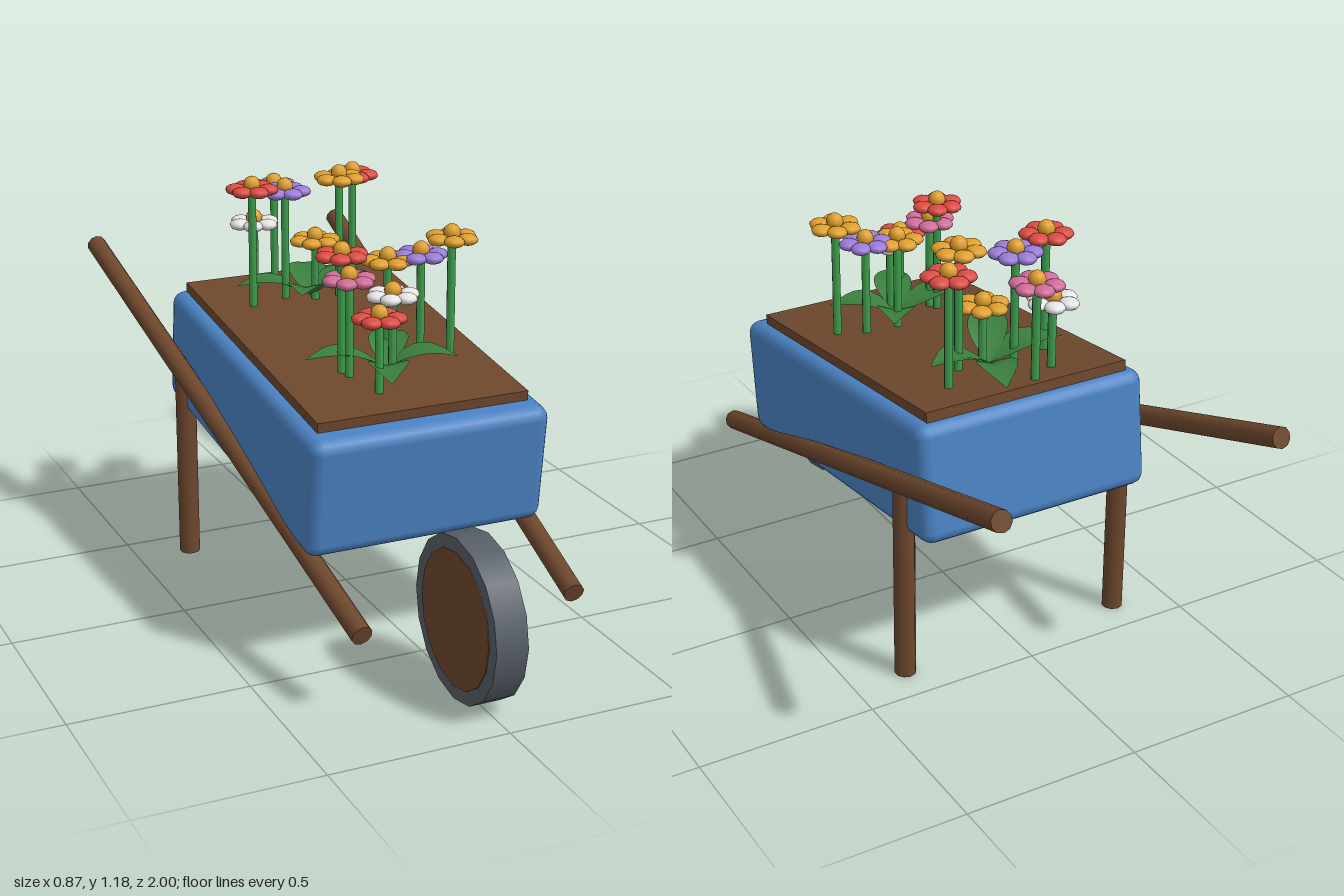
import * as THREE from 'three';
import { RoundedBoxGeometry } from 'three/addons/geometries/RoundedBoxGeometry.js';

const mat = (name, color, extra = {}) => {
  const m = new THREE.MeshStandardMaterial({ color, ...extra });
  m.name = name;
  return m;
};

export function createModel() {
  const blue = mat('blue paint', 0x4a82c3);
  const brown = mat('brown wood and soil', 0x6d472d);
  const rubber = mat('grey rubber', 0x565d66);
  const stemGreen = mat('stem green', 0x3f9e4d);
  const leafGreen = mat('leaf green', 0x3a7f3e, { side: THREE.DoubleSide });
  const gold = mat('gold', 0xdf9f2c);
  const red = mat('red', 0xdb4b44);
  const pink = mat('pink', 0xd06c98);
  const purple = mat('purple', 0x9b7bd8);
  const white = mat('white', 0xebebed);

  const root = new THREE.Group();
  root.name = 'flowerWheelbarrow';

  const add = (parent, name, geo, material, x = 0, y = 0, z = 0) => {
    const m = new THREE.Mesh(geo, material);
    m.name = name;
    m.position.set(x, y, z);
    parent.add(m);
    return m;
  };

  // round bar between two points
  const bar = (parent, name, a, b, r, sides, material) => {
    const from = new THREE.Vector3(...a), to = new THREE.Vector3(...b);
    const dir = to.clone().sub(from);
    const m = add(parent, name, new THREE.CylinderGeometry(r, r, dir.length(), sides), material);
    m.position.copy(from).add(to).multiplyScalar(0.5);
    m.quaternion.setFromUnitVectors(new THREE.Vector3(0, 1, 0), dir.normalize());
    return m;
  };

  // tilted tray with its bed of soil
  const tray = new THREE.Group();
  tray.name = 'tray';
  tray.position.set(0, 0.565, 0.022);
  tray.rotation.x = 0.12;
  root.add(tray);
  add(tray, 'trayBox', new RoundedBoxGeometry(0.69, 0.335, 1.058, 2, 0.035), blue);
  add(tray, 'soil', new THREE.BoxGeometry(0.61, 0.1, 0.96), brown, 0, 0.145, -0.02);

  // handles and legs
  for (const s of [1, -1]) {
    const side = s > 0 ? 'left' : 'right';
    bar(root, side + 'Handle', [s * 0.305, 0.23, 0.775], [s * 0.407, 0.81, -0.99], 0.029, 10, brown);
    bar(root, side + 'Leg', [s * 0.339, 0, -0.39], [s * 0.339, 0.62, -0.39], 0.03, 10, brown);
  }

  // wheel: grey tyre with a brown disc on each face
  const wheel = new THREE.Group();
  wheel.name = 'wheel';
  wheel.position.set(0, 0.225, 0.777);
  wheel.rotation.z = Math.PI / 2;
  root.add(wheel);
  add(wheel, 'tyre', new THREE.CylinderGeometry(0.225, 0.225, 0.09, 16), rubber);
  add(wheel, 'wheelDisc', new THREE.CylinderGeometry(0.187, 0.187, 0.095, 16), brown);

  const soilY = (z) => 0.758 - 0.12 * (z - 0.045);

  // flower: stem, ring of six flattened petals, gold centre
  const petalGeo = new THREE.SphereGeometry(0.029, 10, 8);
  petalGeo.scale(1, 0.55, 1);
  const centreGeo = new THREE.SphereGeometry(0.024, 10, 8);
  const flower = (x, y, z, colour) => {
    const g = new THREE.Group();
    g.name = 'flower';
    root.add(g);
    bar(g, 'stem', [x, soilY(z) - 0.03, z], [x, y, z], 0.012, 8, stemGreen);
    for (let i = 0; i < 6; i++) {
      const a = (i / 6) * Math.PI * 2 + x * 9;
      add(g, 'petal', petalGeo, colour, x + Math.cos(a) * 0.046, y, z + Math.sin(a) * 0.046);
    }
    add(g, 'flowerCentre', centreGeo, gold, x, y + 0.015, z);
  };

  // back bunch
  flower(0.17, 1.12, -0.33, red);
  flower(-0.18, 1.132, -0.24, red);
  flower(-0.04, 1.087, -0.42, pink);
  flower(-0.125, 1.0, -0.365, white);
  flower(-0.07, 1.11, -0.265, purple);
  flower(0.085, 1.14, -0.235, gold);
  flower(0.01, 0.965, -0.235, gold);
  // front bunch
  flower(0.045, 1.007, 0.175, gold);
  flower(0.14, 1.015, 0.185, purple);
  flower(0.212, 1.065, 0.225, gold);
  flower(-0.12, 1.058, 0.24, red);
  flower(-0.112, 0.998, 0.27, pink);
  flower(0.005, 0.947, 0.292, white);
  flower(-0.078, 0.92, 0.385, red);

  // leaf: a strip that tapers to a point, arches and folds along its rib
  const leaf = (cx, cz, tx, tz, lift) => {
    const geo = new THREE.PlaneGeometry(1, 1, 2, 8);
    const p = geo.attributes.position;
    const dx = tx - cx, dz = tz - cz, len = Math.hypot(dx, dz);
    for (let i = 0; i < p.count; i++) {
      const v = p.getX(i) * 2, u = p.getY(i) + 0.5;
      const w = v * 0.055 * Math.sin(Math.PI * Math.pow(u, 0.85));
      const base = soilY(cz + dz * u) + 0.005;
      const y = base + lift * u + 0.025 * Math.sin(Math.PI * u) + Math.abs(w) * 0.25;
      p.setXYZ(i, cx + dx * u - (dz / len) * w, y, cz + dz * u + (dx / len) * w);
    }
    geo.computeVertexNormals();
    add(root, 'leaf', geo, leafGreen);
  };

  leaf(0, -0.25, -0.11, -0.05, 0.09);
  leaf(0, -0.25, 0.07, -0.46, 0.01);
  leaf(0, -0.25, -0.215, -0.28, 0.04);
  leaf(0, -0.25, 0.19, -0.27, 0.04);
  leaf(0, 0.26, -0.225, 0.235, 0.04);
  leaf(0, 0.26, -0.085, 0.48, 0.06);
  leaf(0, 0.26, 0.18, 0.34, 0.04);
  leaf(0, 0.26, 0.09, 0.11, 0.03);

  return root;
}
